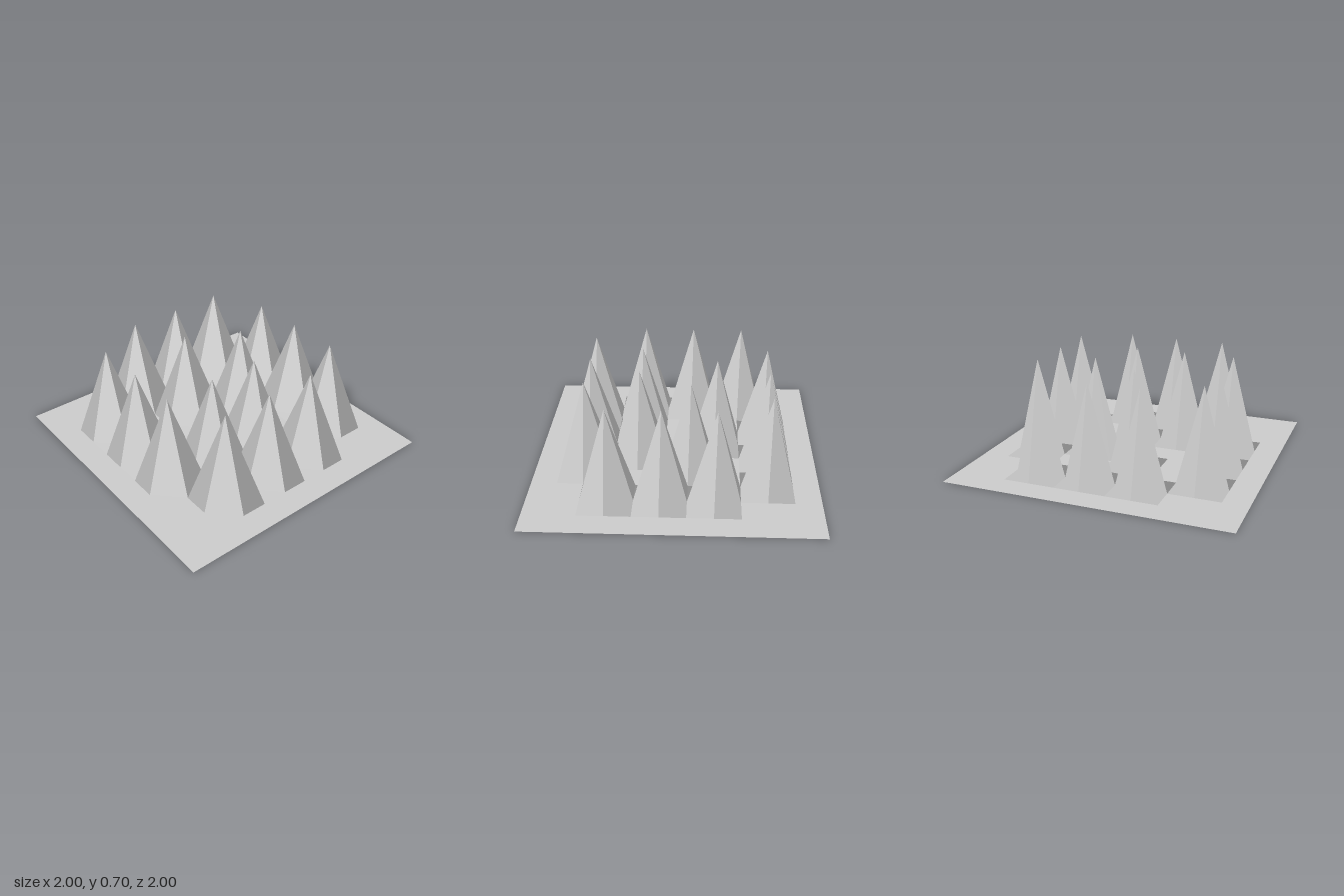
import * as THREE from 'three';

const CELLS = 11;
const HEIGHT = 0.7;
const LEAN = -0.014; // every tip sits slightly to one side of its grid point

// Grid points [column, row] pulled up into spikes
const SPIKES = [
  [4, 2], [6, 2], [8, 2],
  [2, 3],
  [5, 4], [9, 4],
  [2, 5], [7, 5],
  [4, 6], [9, 6],
  [2, 7], [7, 7],
  [9, 8],
  [3, 9], [5, 9], [7, 9],
];

// One shared normal per grid cell, so each spike shows four clean facets
function shadeByCell(geometry) {
  const pos = geometry.attributes.position;
  const normals = geometry.attributes.normal;
  const point = (i) => new THREE.Vector3().fromBufferAttribute(pos, i);
  for (let i = 0; i < pos.count; i += 6) {
    // Cell vertices come as a, b, d, b, c, d
    const ac = point(i + 4).sub(point(i));
    const bd = point(i + 2).sub(point(i + 1));
    const n = ac.cross(bd).normalize();
    for (let k = 0; k < 6; k++) normals.setXYZ(i + k, n.x, n.y, n.z);
  }
}

export function createModel() {
  const group = new THREE.Group();
  group.name = 'spikeField';

  // Flat sheet with chosen grid points raised
  const sheet = new THREE.PlaneGeometry(2, 2, CELLS, CELLS);
  sheet.rotateX(-Math.PI / 2);
  const pos = sheet.attributes.position;
  for (let i = 0; i < pos.count; i++) pos.setY(i, 0);
  for (const [col, row] of SPIKES) {
    const i = row * (CELLS + 1) + col;
    pos.setX(i, pos.getX(i) + LEAN);
    pos.setY(i, HEIGHT);
  }

  const geometry = sheet.toNonIndexed();
  shadeByCell(geometry);

  const material = new THREE.MeshStandardMaterial({ color: 0xcccccc, side: THREE.DoubleSide });
  const mesh = new THREE.Mesh(geometry, material);
  mesh.name = 'spikedSheet';
  group.add(mesh);
  return group;
}
